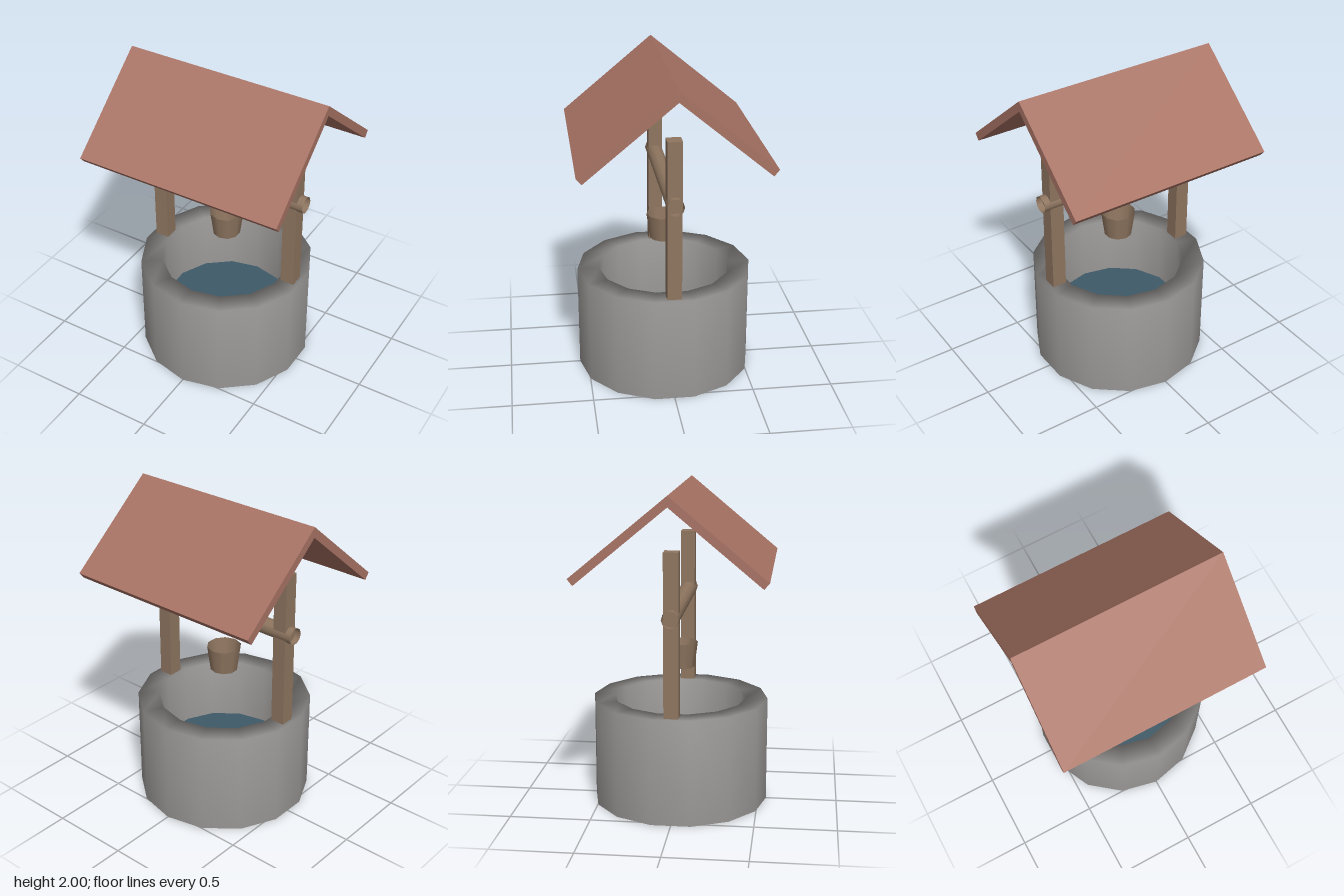
import * as THREE from 'three';

export function createModel() {
  const group = new THREE.Group();
  const material = (name, color, side = THREE.FrontSide) => {
    const m = new THREE.MeshStandardMaterial({ color, side });
    m.name = name;
    return m;
  };
  const stone = material('stone grey', 0x989694, THREE.DoubleSide);
  const wood = material('wood brown', 0x8f7660, THREE.DoubleSide);
  const tile = material('roof red', 0xa87364);
  const water = material('water blue', 0x3f5a68, THREE.DoubleSide);

  const add = (name, geometry, mat, x = 0, y = 0, z = 0) => {
    const mesh = new THREE.Mesh(geometry, mat);
    mesh.name = name;
    mesh.position.set(x, y, z);
    group.add(mesh);
    return mesh;
  };
  const lathe = (points, sides) =>
    new THREE.LatheGeometry(points.map(([r, y]) => new THREE.Vector2(r, y)), sides);

  // Stone ring: outer wall, flat rim and inner shaft, open underneath
  add('wellWall', lathe([[0.552, 0], [0.552, 0.665], [0.415, 0.665], [0.415, 0.11]], 14), stone);

  // Water surface inside the shaft
  const surface = new THREE.CircleGeometry(0.414, 14, Math.PI / 2);
  surface.rotateX(-Math.PI / 2);
  add('water', surface, water, 0, 0.265, 0);

  // Two posts standing on the rim
  for (const side of [-1, 1]) {
    add(side > 0 ? 'leftPost' : 'rightPost', new THREE.BoxGeometry(0.09, 0.995, 0.09), wood,
      side * 0.468, 1.1625, 0);
  }

  // Hollow axle running through both posts
  const axle = new THREE.CylinderGeometry(0.053, 0.053, 1.106, 10, 1, true);
  axle.rotateZ(Math.PI / 2);
  add('axle', axle, wood, 0, 1.273, 0);

  // Tapered bucket, open at the top
  add('bucket', lathe([[0.0875, 0.86], [0.109, 1.02]], 10), wood);
  const base = new THREE.CircleGeometry(0.0875, 10, Math.PI / 2);
  base.rotateX(Math.PI / 2);
  add('bucketBase', base, wood, 0, 0.861, 0);

  // Gabled roof: a chevron profile extruded along x
  const chevron = new THREE.Shape([
    [0, 2], [-0.577, 1.521], [-0.545, 1.482], [0, 1.935], [0.545, 1.482], [0.577, 1.521],
  ].map(([z, y]) => new THREE.Vector2(z, y)));
  const roof = new THREE.ExtrudeGeometry(chevron, { depth: 1.324, bevelEnabled: false });
  roof.translate(0, 0, -0.662);
  roof.rotateY(Math.PI / 2);
  add('roof', roof, tile);

  return group;
}
